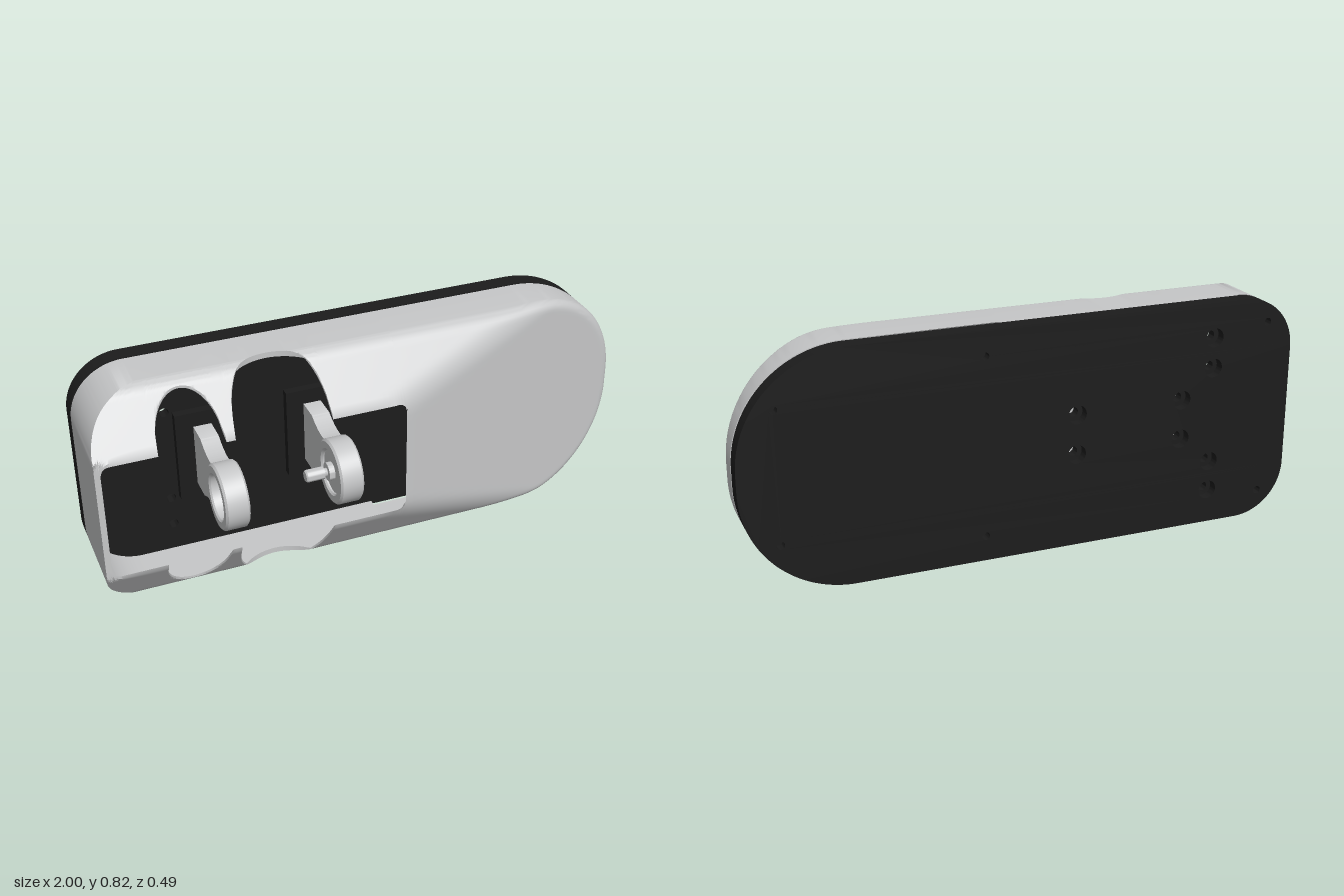
import * as THREE from 'three';
import { mergeGeometries, toCreasedNormals } from 'three/addons/utils/BufferGeometryUtils.js';

const CY = 0.41, HALF = 0.41, RL = 0.19, RR = 0.38, FLOOR = -0.175, TOP = 0.145, WALL = 0.02;
const OPEN_L = -0.98, OPEN_R = 0.07;

// Half height of the plan outline at x
function halfHeight(x) {
  if (x < -1 + RL) return HALF - RL + Math.sqrt(Math.max(0, RL * RL - (-1 + RL - x) ** 2));
  if (x > 1 - RR) return HALF - RR + Math.sqrt(Math.max(0, RR * RR - (x - 1 + RR) ** 2));
  return HALF;
}

// Front surface of the cover: flat top, side chamfers, sloping nose, rounded rim
function surface(x, h) {
  const chamfer = TOP - 0.74 * (h - 0.225), slope = TOP - 0.247 * (x - 0.08), k = 0.04;
  const m = Math.max(0, k - Math.abs(chamfer - slope)) / k;
  const z = Math.min(TOP, Math.min(chamfer, slope) - m * m * k / 4);
  const ex = x - (1 - RR), eh = h - (HALF - RR);
  const d = ex > 0 && eh > 0 ? RR - Math.hypot(ex, eh) : Math.min(1 - x, HALF - h);
  const r = 0.03, q = Math.min(1, Math.max(0, 1 - d / r));
  return z - r * (1 - Math.sqrt(1 - q * q));
}

// Two round scallops cut across the cover
function cut(x) {
  let z = TOP;
  for (const [cx, cz, r] of [[-0.68, 0.135, 0.11], [-0.365, 0.13, 0.165]])
    if (Math.abs(x - cx) < r) z = Math.min(z, cz - Math.sqrt(r * r - (x - cx) ** 2));
  return z;
}

// Cross-section column from the foot of the outer wall up and inwards
function column(x, open) {
  const H = halfHeight(x), c = open ? cut(x) : TOP, n = 22;
  let inner = 0;
  if (open) {
    const u = Math.min(0.03, x - OPEN_L, OPEN_R - x), r = 0.03;
    inner = Math.min(H - WALL, 0.215 + (TOP - c) / 0.74) - r + Math.sqrt(Math.max(0, r * r - (r - u) ** 2));
  }
  const pts = [[x, H, FLOOR]];
  for (let j = 0; j <= n; j++) {
    const h = H + (inner - H) * (j / n) ** 2;
    pts.push([x, h, Math.min(c, surface(x, h))]);
  }
  if (open) {
    const zi = Math.min(c, TOP - 0.74 * (H - WALL - 0.215));
    pts.push([x, H - WALL, zi], [x, H - WALL, FLOOR]);
  }
  return pts;
}

// Skin a list of columns, on both sides of the centre line
function loft(cols) {
  const parts = [1, -1].map((side) => {
    const pos = [], idx = [], n = cols[0].length;
    cols.forEach((col) => col.forEach(([x, h, z]) => pos.push(x, CY + side * h, z)));
    for (let i = 0; i < cols.length - 1; i++)
      for (let j = 0; j < n - 1; j++) {
        const a = i * n + j, b = a + 1, c = a + n, d = c + 1;
        if (side > 0) idx.push(a, b, c, b, d, c);
        else idx.push(a, c, b, b, c, d);
      }
    const g = new THREE.BufferGeometry();
    g.setAttribute('position', new THREE.Float32BufferAttribute(pos, 3));
    g.setIndex(idx);
    return g;
  });
  return mergeGeometries(parts);
}

const range = (a, b, n, f = (t) => t) => Array.from({ length: n + 1 }, (_, i) => a + (b - a) * f(i / n));
const flat = (col) => col.map(([x, h]) => [x, h, FLOOR]);

function coverGeometry() {
  const left = range(-1, OPEN_L, 5, (t) => t * t).map((x) => column(x, false));
  const mid = range(OPEN_L, OPEN_R, 200).map((x) => column(x, true));
  const xs = [...range(OPEN_R, 1 - RR, 30), ...range(0, Math.PI / 2, 32).slice(1).map((a) => 1 - RR + RR * Math.sin(a))];
  const right = xs.map((x) => column(x, false));
  // Inner face of the end wall
  const rim = mid[0].slice(-3);
  const endFace = [rim.map(([x, , z]) => [x, 0, z]), rim];
  const g = mergeGeometries([
    loft([flat(left[0]), ...left]), loft(mid), loft([...right, flat(right[right.length - 1])]), loft(endFace),
  ]);
  return toCreasedNormals(g, 0.55);
}

// Plan outline of the base plate
function outline(inset) {
  const s = new THREE.Shape(), l = -1 + RL, r = 1 - RR, b = CY - HALF, t = CY + HALF;
  s.absarc(r, b + RR, RR - inset, -Math.PI / 2, 0, false);
  s.absarc(r, t - RR, RR - inset, 0, Math.PI / 2, false);
  s.absarc(l, t - RL, RL - inset, Math.PI / 2, Math.PI, false);
  s.absarc(l, b + RL, RL - inset, Math.PI, Math.PI * 1.5, false);
  return s;
}

// Screw positions: x, distance from the centre line
const BIG = [[-0.69, 0.285], [-0.69, 0.175], [-0.57, 0.072], [-0.17, 0.072]];
const SMALL = [[0.87, 0.23], [0.165, 0.32], [-0.9, 0.32]];

function plateLayer(z0, z1, inset, bigR, smallR) {
  const s = outline(inset);
  const drill = (list, r) => list.forEach(([x, d]) => [1, -1].forEach((m) => {
    s.holes.push(new THREE.Path().absarc(x, CY + m * d, r, 0, Math.PI * 2, true));
  }));
  drill(BIG, bigR);
  if (smallR) drill(SMALL, smallR);
  const g = new THREE.ExtrudeGeometry(s, { depth: z1 - z0, bevelEnabled: false, curveSegments: 24 });
  return toCreasedNormals(g.translate(0, 0, z0), 0.5);
}

// Ring or disc around the x axis, from a profile of [radius, x]
function turned(profile) {
  const g = new THREE.LatheGeometry(profile.map(([r, x]) => new THREE.Vector2(r, x)), 40);
  return toCreasedNormals(g.rotateZ(-Math.PI / 2), 0.5);
}

// Upright with a round eye and a waisted neck
function uprightGeometry() {
  const s = new THREE.Shape();
  s.moveTo(0.175, -0.115);
  s.lineTo(0.175, 0.115);
  s.lineTo(0.06, 0.115);
  s.quadraticCurveTo(-0.01, 0.075, -0.075, 0.09);
  s.absarc(-0.13, 0, 0.108, 1.02, Math.PI * 2 - 1.02, false);
  s.quadraticCurveTo(-0.01, -0.075, 0.06, -0.115);
  s.holes.push(new THREE.Path().absarc(-0.13, 0, 0.082, 0, Math.PI * 2, true));
  const g = new THREE.ExtrudeGeometry(s, { depth: 0.064, bevelEnabled: false, curveSegments: 32 });
  return toCreasedNormals(g.translate(0, 0, -0.032).rotateY(Math.PI / 2), 0.5);
}

export function createModel() {
  const model = new THREE.Group();
  const black = new THREE.MeshStandardMaterial({ name: 'black', color: 0x1c1c1c });
  const grey = new THREE.MeshStandardMaterial({ name: 'light grey', color: 0xc6c7c8, side: THREE.DoubleSide });
  const add = (parent, name, geo, mat, x = 0, y = 0, z = 0) => {
    const m = new THREE.Mesh(geo, mat);
    m.name = name;
    m.position.set(x, y, z);
    parent.add(m);
    return m;
  };

  add(model, 'cover', coverGeometry(), grey);

  // Base plate with counterbored screw holes and a stepped front edge
  const base = new THREE.Group();
  base.name = 'basePlate';
  model.add(base);
  add(base, 'plateBack', plateLayer(-0.245, -0.21, 0, 0.034, 0.014), black);
  add(base, 'plateCore', plateLayer(-0.21, -0.184, 0, 0.017, 0), black);
  add(base, 'plateLip', plateLayer(-0.184, FLOOR, 0.007, 0.017, 0), black);

  // Two uprights, each with a ring and a foot
  for (const [name, x] of [['openUpright', -0.567], ['pinUpright', -0.167]]) {
    const g = new THREE.Group();
    g.name = name;
    g.position.set(x, CY, 0);
    model.add(g);
    add(g, 'upright', uprightGeometry(), grey);
    add(g, 'foot', new THREE.BoxGeometry(0.19, 0.34, 0.03), black, 0, 0, FLOOR + 0.015);
    add(g, 'ring', turned([[0.078, -0.036], [0.084, -0.042], [0.108, -0.042], [0.115, -0.035], [0.115, 0.035],
      [0.108, 0.042], [0.084, 0.042], [0.078, 0.036], [0.078, -0.036]]), grey, 0, 0, 0.13);
    if (name === 'pinUpright') {
      add(g, 'hub', turned([[0, -0.03], [0.08, -0.03], [0.08, 0.022], [0, 0.022]]), grey, 0, 0, 0.13);
      const bolt = new THREE.CylinderGeometry(0.042, 0.042, 0.018, 6).rotateZ(Math.PI / 2);
      add(g, 'boltHead', bolt, grey, 0.03, 0, 0.13);
      add(g, 'pin', turned([[0, -0.128], [0.018, -0.128], [0.022, -0.123], [0.022, -0.062], [0.014, -0.06],
        [0.014, -0.05], [0.032, -0.05], [0.032, -0.028]]), grey, 0, 0, 0.125);
    }
  }
  return model;
}
